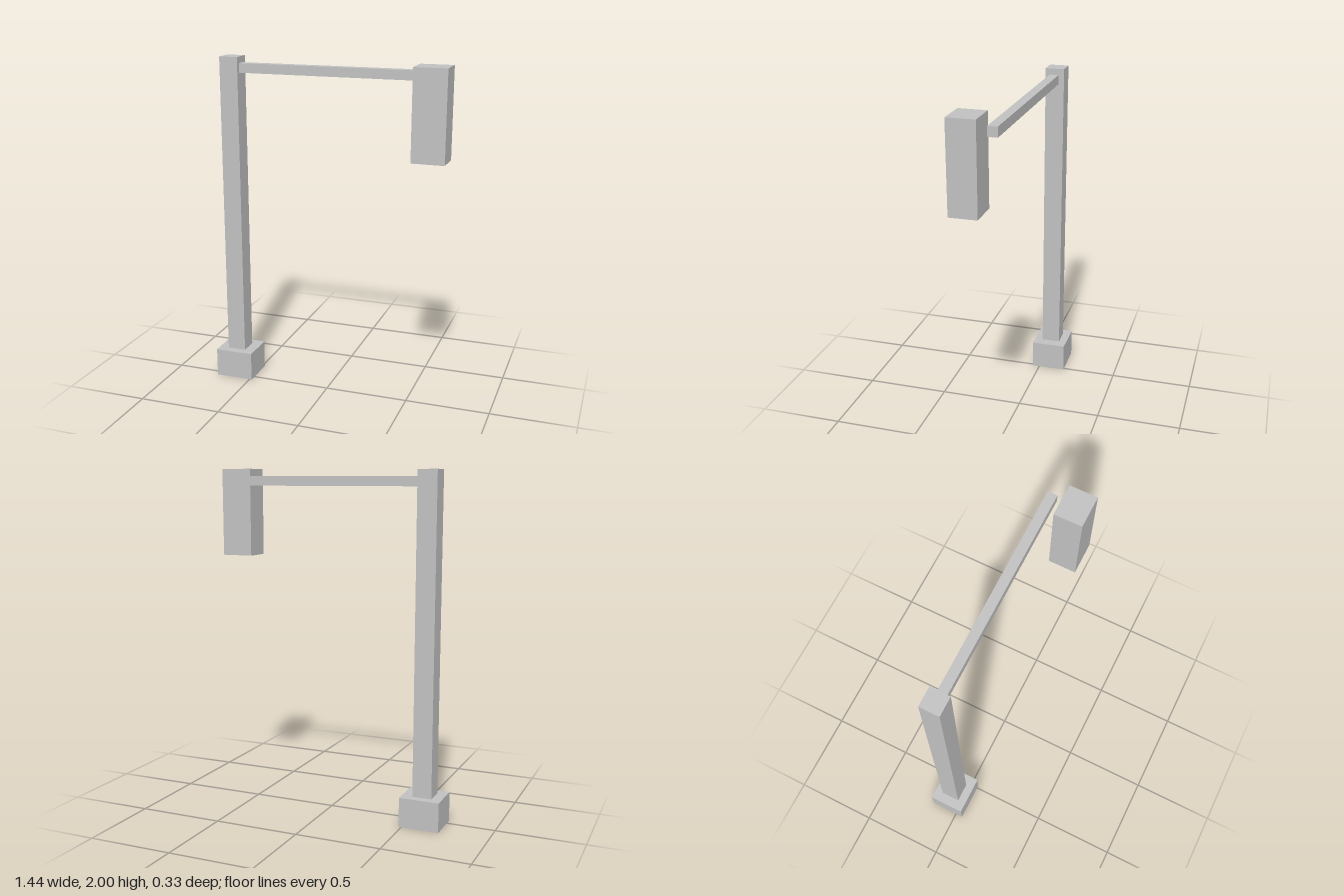
import * as THREE from 'three';

const grey = new THREE.MeshStandardMaterial({ color: 0xc0c0c0 });
grey.name = 'grey';

// Box given by its extents along each axis
function block(name, [x0, x1], [y0, y1], [z0, z1]) {
  const mesh = new THREE.Mesh(new THREE.BoxGeometry(x1 - x0, y1 - y0, z1 - z0), grey);
  mesh.position.set((x0 + x1) / 2, (y0 + y1) / 2, (z0 + z1) / 2);
  mesh.name = name;
  return mesh;
}

export function createModel() {
  const model = new THREE.Group();
  model.name = 'signalPole';
  model.add(
    // Footing and upright post
    block('base', [-0.718, -0.485], [0, 0.173], [-0.166, 0.045]),
    block('post', [-0.66, -0.548], [0.173, 1.995], [-0.118, -0.005]),
    // Overhanging arm with the signal housing in front of its end
    block('arm', [-0.548, 0.661], [1.903, 1.958], [-0.084, -0.03]),
    block('signalHousing', [0.531, 0.718], [1.488, 2], [0.007, 0.166]),
  );
  return model;
}
